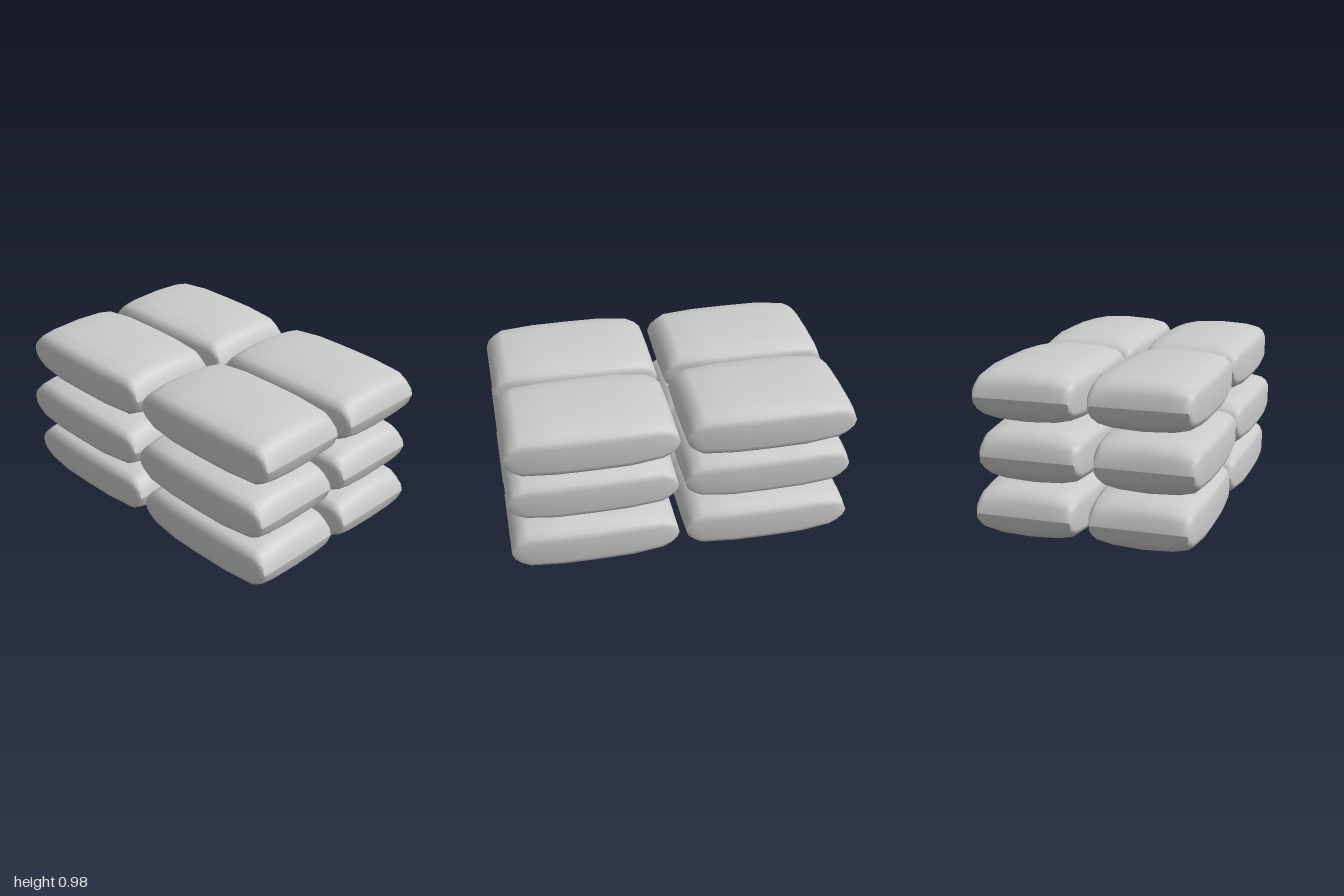
import * as THREE from 'three';

// Stations along a sack: x, half height, half depth
const STATIONS = [
  [-0.49, 0, 0.272], [-0.472, 0.075, 0.279], [-0.44, 0.112, 0.286], [-0.39, 0.142, 0.293],
  [-0.21, 0.16, 0.309], [0, 0.161, 0.311], [0.2, 0.16, 0.308],
  [0.39, 0.15, 0.293], [0.44, 0.115, 0.286], [0.474, 0.075, 0.279], [0.49, 0, 0.272],
];

// Quarter of the unit cross-section (z, y): flat side wall, rounded shoulder, gentle crown
const QUARTER = [[1, 0.45], [0.95, 0.66], [0.86, 0.81], [0.57, 0.94], [0, 1]];

// Puffy sack lofted along x, pinched to a seam at both ends
function sackGeometry() {
  const half = [...QUARTER, ...QUARTER.slice(0, -1).reverse().map(([z, y]) => [-z, y])];
  const ring = [...half, ...half.map(([z, y]) => [-z, -y])];
  const n = ring.length;
  const positions = [];
  const index = [];
  for (const [x, h, d] of STATIONS) {
    for (const [z, y] of ring) positions.push(x, y * h, z * d);
  }
  for (let i = 0; i < STATIONS.length - 1; i++) {
    for (let j = 0; j < n; j++) {
      const a = i * n + j;
      const b = i * n + ((j + 1) % n);
      index.push(a, a + n, b, b, a + n, b + n);
    }
  }
  const geometry = new THREE.BufferGeometry();
  geometry.setAttribute('position', new THREE.Float32BufferAttribute(positions, 3));
  geometry.setIndex(index);
  geometry.computeVertexNormals();
  return geometry;
}

export function createModel() {
  const model = new THREE.Group();
  model.name = 'sackStack';
  const material = new THREE.MeshStandardMaterial({ color: 0xcccccc });
  const geometry = sackGeometry();

  // Three layers of four sacks; the middle layer is turned half round
  for (let layer = 0; layer < 3; layer++) {
    const group = new THREE.Group();
    group.name = `layer${layer + 1}`;
    group.position.y = 0.165 + layer * 0.33;
    group.rotation.y = layer === 1 ? Math.PI : 0;
    for (const x of [-0.51, 0.51]) {
      for (const z of [0.313, -0.344]) {
        const sack = new THREE.Mesh(geometry, material);
        sack.name = 'sack';
        sack.position.set(x, 0, z);
        group.add(sack);
      }
    }
    model.add(group);
  }
  return model;
}
